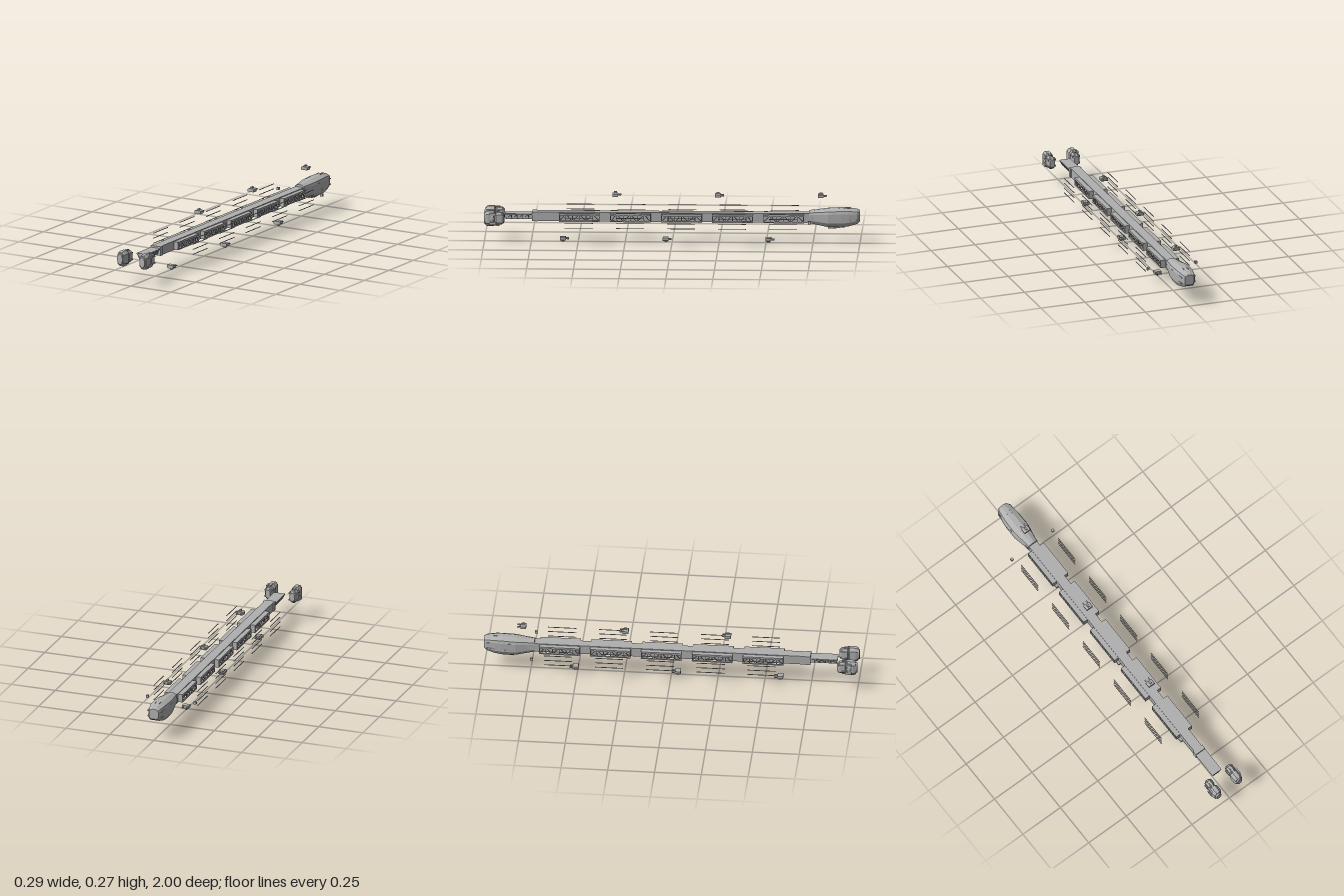
import * as THREE from 'three';

const hull = new THREE.MeshStandardMaterial({ color: 0xb0b0b0 });
hull.name = 'hull grey';
hull.flatShading = true;

function add(parent, name, geometry, x = 0, y = 0, z = 0) {
  const m = new THREE.Mesh(geometry, hull);
  m.name = name;
  m.position.set(x, y, z);
  parent.add(m);
  return m;
}

// box given by its min and max corners
function block(parent, name, x0, x1, y0, y1, z0, z1) {
  return add(parent, name, new THREE.BoxGeometry(x1 - x0, y1 - y0, z1 - z0),
    (x0 + x1) / 2, (y0 + y1) / 2, (z0 + z1) / 2);
}

// thin square beam between two points
function beam(parent, name, a, b, t) {
  const p = new THREE.Vector3(...a), q = new THREE.Vector3(...b);
  const m = add(parent, name, new THREE.BoxGeometry(t, t, p.distanceTo(q)));
  m.position.copy(p).add(q).multiplyScalar(0.5);
  m.lookAt(q);
  return m;
}

// closed skin through equal-sized rings that run counter-clockwise, z increasing
function loft(rings) {
  const pos = [], n = rings[0].length;
  const tri = (...v) => v.forEach(p => pos.push(...p));
  for (let i = 0; i + 1 < rings.length; i++)
    for (let j = 0; j < n; j++) {
      const k = (j + 1) % n, a = rings[i], b = rings[i + 1];
      tri(a[j], a[k], b[k]);
      tri(a[j], b[k], b[j]);
    }
  const first = rings[0], last = rings[rings.length - 1];
  for (let j = 1; j + 1 < n; j++) {
    tri(first[0], first[j + 1], first[j]);
    tri(last[0], last[j], last[j + 1]);
  }
  const g = new THREE.BufferGeometry();
  g.setAttribute('position', new THREE.Float32BufferAttribute(pos, 3));
  g.computeVertexNormals();
  return g;
}

// ten-sided command section outline: half width, bottom, top
function headRing([z, w, yb, yt]) {
  const h = yt - yb;
  const right = [[0.74, 0], [1, 0.22], [1, 0.72], [0.9, 0.87], [0.3, 1]];
  const pts = right.concat(right.slice().reverse().map(([x, y]) => [-x, y]));
  return pts.map(([x, y]) => [x * w, yb + y * h, z]);
}

function makeHead() {
  const g = new THREE.Group();
  g.name = 'commandSection';
  add(g, 'headHull', loft([
    [-1.0, 0.026, 0.122, 0.178], [-0.985, 0.036, 0.11, 0.186], [-0.94, 0.044, 0.098, 0.192],
    [-0.9, 0.047, 0.093, 0.193], [-0.83, 0.047, 0.094, 0.189], [-0.77, 0.036, 0.105, 0.181],
    [-0.73, 0.03, 0.112, 0.177]].map(headRing)));
  block(g, 'sternFrame', -0.017, 0.017, 0.132, 0.16, -1.0, -0.98);
  block(g, 'keelBay', -0.014, 0.014, 0.082, 0.1, -0.875, -0.83);
  for (const s of [-1, 1]) {
    // side ridges, roof ridges and keel fins
    beam(g, 'upperSideRidge', [s * 0.046, 0.163, -0.85], [s * 0.038, 0.161, -0.985], 0.005);
    beam(g, 'lowerSideRidge', [s * 0.046, 0.124, -0.88], [s * 0.038, 0.13, -0.985], 0.005);
    block(g, 'roofRidge', s * 0.012 - 0.001, s * 0.012 + 0.001, 0.185, 0.194, -0.95, -0.92);
    beam(g, 'keelFin', [s * 0.02, 0.089, -0.84], [s * 0.02, 0.096, -0.92], 0.01);
    block(g, 'neckPanel', s * 0.029 - 0.005, s * 0.029 + 0.005, 0.13, 0.15, -0.765, -0.735);
  }
  return g;
}

// cargo bay truss on the +x side, centred on z = 0
function makeTruss() {
  const g = new THREE.Group(), L = 0.108, n = 6, X = 0.05, T = 0.158, B = 0.118;
  g.name = 'trussBay';
  block(g, 'topDeck', 0.02, 0.052, 0.156, 0.16, -L, L);
  block(g, 'topRail', 0.048, 0.052, 0.15, 0.157, -L, L);
  block(g, 'bottomRail', 0.048, 0.052, 0.116, 0.123, -L, L);
  for (const s of [-1, 1])
    block(g, 'endFrame', 0.024, 0.052, 0.116, 0.158, s * (L - 0.002) - 0.002, s * (L - 0.002) + 0.002);
  for (let i = 0; i < n; i++) {
    const z0 = -L + (2 * L * i) / n, z1 = z0 + (2 * L) / n;
    const up = i % 2 === 0;
    beam(g, 'diagonal', [X, up ? B : T, z0], [X, up ? T : B, z1], 0.0035);
    if (i > 0) {
      beam(g, 'post', [X, B, z0], [X, T, z0], 0.0035);
      beam(g, 'crossStrut', [0.025, B, z0], [X, B, z0], 0.0035);
    }
  }
  return g;
}

// stretched octagon for the drive pods
function podRing([z, w, h]) {
  return [[0.45, -1], [1, -0.6], [1, 0.6], [0.45, 1], [-0.45, 1], [-1, 0.6], [-1, -0.6], [-0.45, -1]]
    .map(([x, y]) => [x * w, y * h, z]);
}

function makePod() {
  const g = new THREE.Group();
  g.name = 'drivePod';
  add(g, 'podBody', loft([[-0.005, 0.018, 0.032], [0, 0.024, 0.041], [0.032, 0.024, 0.041], [0.045, 0.02, 0.036]].map(podRing)));
  add(g, 'podTail', loft([[-0.055, 0.013, 0.022], [-0.042, 0.02, 0.033], [-0.012, 0.02, 0.033], [-0.004, 0.013, 0.026]].map(podRing)));
  // oval nozzle dish
  const dish = add(g, 'nozzle', new THREE.CylinderGeometry(0.0165, 0.019, 0.012, 16), 0, 0, 0.047);
  dish.rotation.x = Math.PI / 2;
  dish.scale.z = 1.75;
  dish.scale.x = 1;
  block(g, 'podCore', -0.012, 0.012, -0.025, 0.025, -0.05, 0.03);
  // outboard fittings
  for (const s of [-1, 1]) {
    block(g, 'outerLug', 0.018, 0.027, s * 0.024 - 0.007, s * 0.024 + 0.007, -0.012, 0.022);
    block(g, 'tailLug', -0.022, 0.022, s * 0.018 - 0.004, s * 0.018 + 0.004, -0.048, -0.018);
    block(g, 'ridge', -0.006, 0.006, s * 0.037 - 0.003, s * 0.037 + 0.003, -0.03, 0.03);
  }
  const bulge = add(g, 'outerBulge', new THREE.SphereGeometry(1, 10, 6), 0.018, 0, 0.01);
  bulge.scale.set(0.009, 0.024, 0.016);
  return g;
}

// free-floating gun turret standing on y = 0, barrels toward -z
function makeTurret() {
  const g = new THREE.Group();
  g.name = 'turret';
  const s = new THREE.Shape();
  [[-0.019, 0], [0.019, 0], [0.019, 0.014], [0.013, 0.018], [-0.013, 0.018], [-0.019, 0.014]]
    .forEach(([x, y], i) => (i ? s.lineTo(x, y) : s.moveTo(x, y)));
  add(g, 'turretBody', new THREE.ExtrudeGeometry(s, { depth: 0.03, bevelEnabled: false }), 0, 0, -0.01);
  block(g, 'turretCap', -0.005, 0.005, 0.016, 0.026, -0.004, 0.012);
  for (const k of [-1, 1])
    block(g, 'barrel', k * 0.011 - 0.003, k * 0.011 + 0.003, 0.006, 0.012, -0.027, -0.009);
  return g;
}

export function createModel() {
  const model = new THREE.Group();
  model.name = 'spaceFreighter';

  // long spine and open forward neck
  block(model, 'spine', -0.026, 0.026, 0.114, 0.164, -0.74, 0.74);
  block(model, 'spineCollar', -0.031, 0.031, 0.114, 0.164, 0.72, 0.745);
  block(model, 'neckDeck', -0.031, 0.031, 0.149, 0.154, 0.74, 0.89);
  block(model, 'neckCore', -0.015, 0.015, 0.122, 0.15, 0.74, 0.885);
  for (const s of [-1, 1])
    for (let i = 0; i < 5; i++) {
      const z = 0.765 + i * 0.03;
      beam(model, 'neckStrut', [s * 0.029, 0.15, z], [s * 0.015, 0.124, z], 0.004);
      if (i < 4) beam(model, 'neckDiagonal', [s * 0.029, 0.15, z], [s * 0.015, 0.124, z + 0.03], 0.003);
    }

  model.add(makeHead());

  // five bays, each with mirrored trusses and four floating rods a side
  for (let i = 0; i < 5; i++) {
    const z = 0.493 - i * 0.272;
    for (const s of [-1, 1]) {
      const truss = makeTruss();
      truss.scale.x = s;
      truss.position.z = z;
      model.add(truss);
      for (const y of [0.178, 0.151, 0.123, 0.096])
        block(model, 'sideRod', s * 0.124 - 0.0015, s * 0.124 + 0.0015, y - 0.0015, y + 0.0015, z - 0.075, z + 0.075);
    }
  }

  // drive pods and sensor cubes
  for (const s of [-1, 1]) {
    const pod = makePod();
    pod.scale.x = s;
    pod.position.set(s * 0.069, 0.137, 0.947);
    model.add(pod);
    add(model, 'sensorCube', new THREE.BoxGeometry(0.014, 0.014, 0.014), s * 0.136, 0.137, -0.735);
  }

  // turrets above and below
  for (let i = 0; i < 3; i++) {
    const upper = makeTurret();
    upper.position.set(0, 0.247, 0.298 - i * 0.547);
    const lower = makeTurret();
    lower.scale.y = -1;
    lower.position.set(0, 0.026, 0.577 - i * 0.547);
    model.add(upper, lower);
  }
  return model;
}
